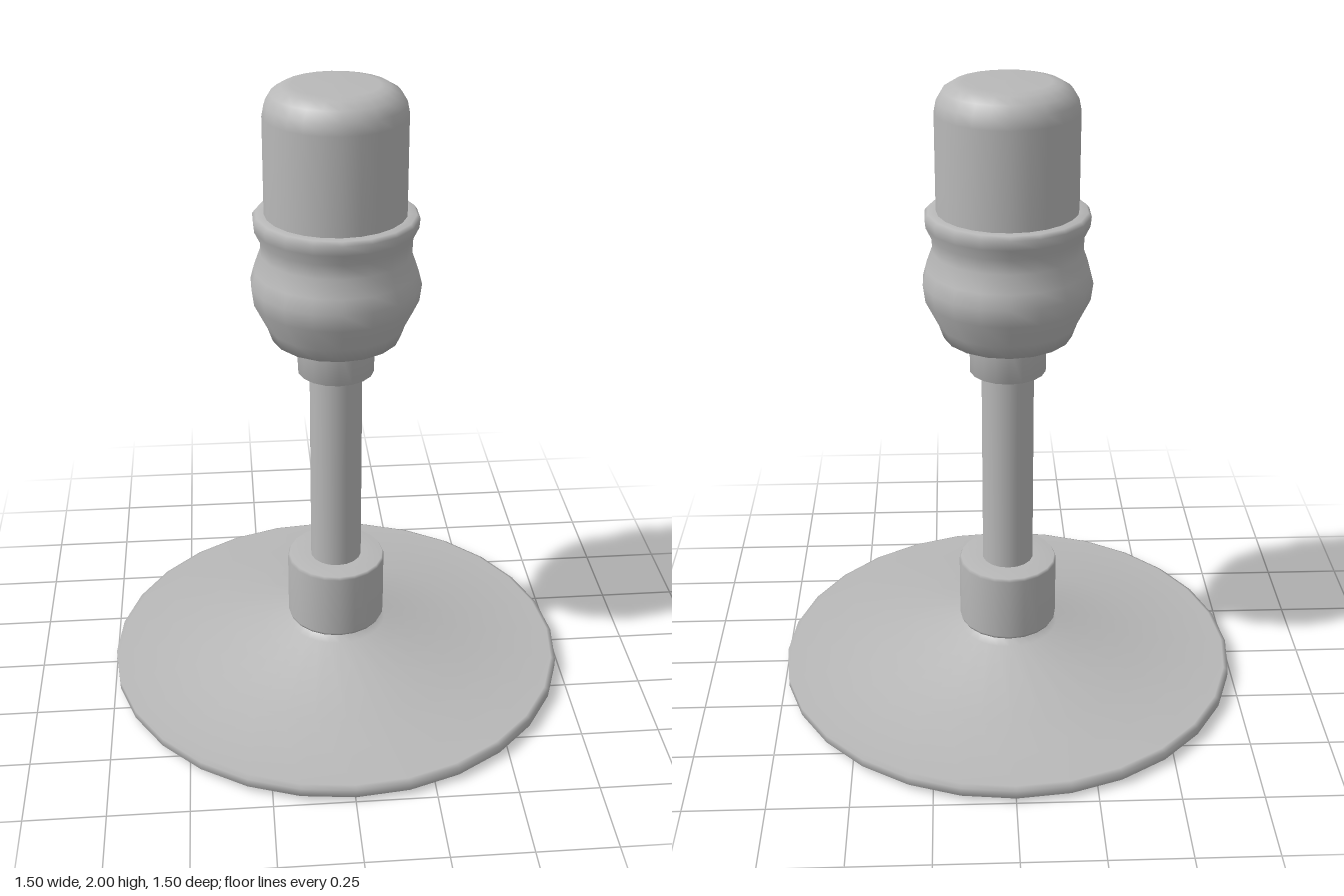
import * as THREE from 'three';

export function createModel() {
  const model = new THREE.Group();
  model.name = 'deskMicrophone';

  const grey = new THREE.MeshStandardMaterial({ color: 0xb8b8b8, side: THREE.DoubleSide });
  grey.name = 'plain grey';

  // Every part is turned around the vertical axis: [radius, height] from bottom to top
  function turned(name, segments, profile) {
    const points = profile.map(([r, y]) => new THREE.Vector2(r, y));
    const mesh = new THREE.Mesh(new THREE.LatheGeometry(points, segments), grey);
    mesh.name = name;
    model.add(mesh);
  }

  // Wide foot: slightly domed underside, thin rim, shallow cone and neck
  turned('base', 28, [
    [0, 0], [0.1, 0.005], [0.735, 0.01], [0.75, 0.018], [0.75, 0.045], [0.735, 0.052],
    [0.46, 0.06], [0.165, 0.155], [0.13, 0.165], [0.13, 0.185],
  ]);

  // Socket holding the pole
  turned('lowerCollar', 20, [
    [0.085, 0.18], [0.155, 0.18], [0.16, 0.19], [0.16, 0.4], [0.155, 0.41], [0.08, 0.41],
  ]);

  turned('pole', 18, [[0.083, 0.4], [0.083, 1.1]]);

  turned('upperCollar', 18, [
    [0.08, 1.09], [0.12, 1.09], [0.12, 1.215],
  ]);

  // Waisted holder under the capsule
  turned('headHousing', 18, [
    [0.11, 1.212], [0.2, 1.212], [0.215, 1.255], [0.255, 1.335], [0.262, 1.39],
    [0.25, 1.435], [0.23, 1.49], [0.232, 1.535], [0.249, 1.57], [0.252, 1.6],
    [0.242, 1.612], [0.21, 1.612],
  ]);

  // Round-shouldered capsule
  turned('capsule', 24, [
    [0.215, 1.6], [0.215, 1.91], [0.208, 1.945], [0.19, 1.975],
    [0.16, 1.993], [0.13, 1.999], [0, 2],
  ]);

  return model;
}
